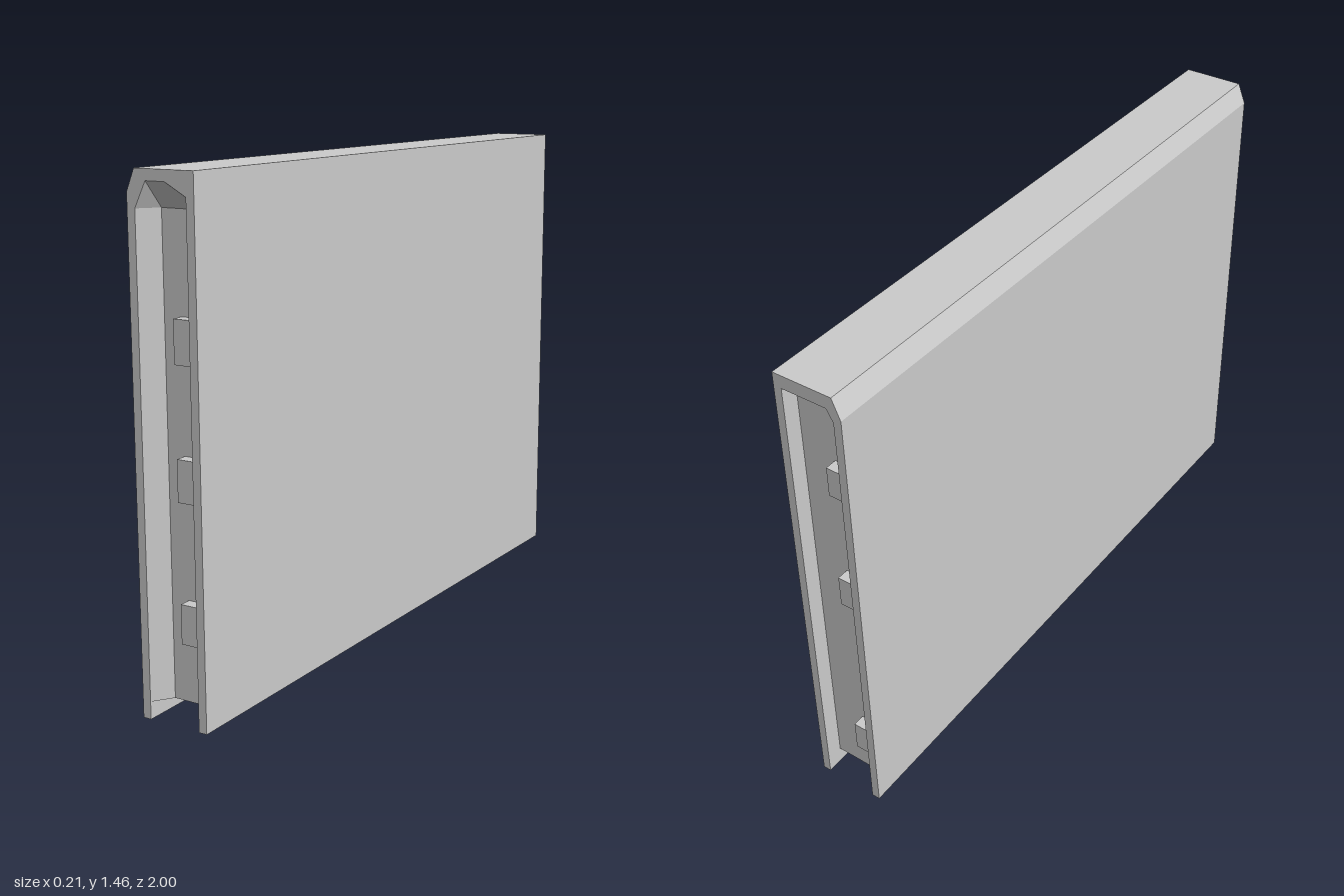
import * as THREE from 'three';

const material = new THREE.MeshStandardMaterial({ color: 0xcccccc, flatShading: true, side: THREE.DoubleSide });

// Outer cross-section: an upside-down U with one bevelled shoulder
const outer = [[0.105, 0], [0.105, 1.46], [-0.08, 1.46], [-0.105, 1.4], [-0.105, 0]];
const frontMouth = [[-0.08, 0.05], [-0.08, 1.36], [-0.045, 1.43], [0.015, 1.43], [0.08, 1.395], [0.08, 0.05]];
const frontFloor = [[-0.04, 0.05], [-0.04, 1.355], [-0.04, 1.36], [0.015, 1.36], [0.08, 1.36], [0.078, 0.05]];
const backMouth = [[-0.08, 0.05], [-0.08, 1.385], [-0.06, 1.42], [0.08, 1.42], [0.08, 0.05]];
const FRONT_Z = 0.945, BACK_Z = -0.95;

function add(group, name, geometry) {
  const mesh = new THREE.Mesh(geometry, material);
  mesh.name = name;
  group.add(mesh);
  return mesh;
}

function extrude(points, z0, z1) {
  const shape = new THREE.Shape(points.map(([x, y]) => new THREE.Vector2(x, y)));
  return new THREE.ExtrudeGeometry(shape, { depth: z1 - z0, bevelEnabled: false }).translate(0, 0, z0);
}

// Joins two outlines with a strip of quads
function loft(a, za, b, zb) {
  const positions = [];
  for (let i = 0; i < a.length - 1; i++) {
    const p = [...a[i], za], q = [...a[i + 1], za];
    const r = [...b[i + 1], zb], s = [...b[i], zb];
    positions.push(...p, ...q, ...r, ...p, ...r, ...s);
  }
  const geometry = new THREE.BufferGeometry();
  geometry.setAttribute('position', new THREE.Float32BufferAttribute(positions, 3));
  geometry.computeVertexNormals();
  return geometry;
}

function box(group, name, x0, x1, y0, y1, z0, z1) {
  const mesh = add(group, name, new THREE.BoxGeometry(x1 - x0, y1 - y0, z1 - z0));
  mesh.position.set((x0 + x1) / 2, (y0 + y1) / 2, (z0 + z1) / 2);
}

export function createModel() {
  const model = new THREE.Group();
  model.name = 'wallPanel';

  // Shell halves, with the inside opening cut down through the base
  const shell = (mouth) => [...outer, [-0.08, 0], ...mouth, [0.08, 0]];
  add(model, 'frontShell', extrude(shell(frontMouth), 0, 1));
  add(model, 'backShell', extrude(shell(backMouth), -1, 0));

  // Core filling the shell, set back from both ends and above the base channel
  add(model, 'frontCore', extrude(frontMouth, 0, FRONT_Z));
  add(model, 'backCore', extrude(backMouth, BACK_Z, 0));

  // Sloped lining of the front recess
  add(model, 'frontRecessLining', loft(frontMouth, 1, frontFloor, FRONT_Z));

  // Connector tabs in the end recesses, on opposite walls
  for (const [y0, y1] of [[0.225, 0.335], [0.61, 0.725], [0.97, 1.088]]) {
    box(model, 'frontTab', 0.015, 0.08, y0, y1, FRONT_Z, FRONT_Z + 0.035);
  }
  for (const [y0, y1] of [[0.165, 0.26], [0.74, 0.835], [1.12, 1.21]]) {
    box(model, 'backTab', -0.08, -0.025, y0, y1, BACK_Z - 0.035, BACK_Z);
  }
  return model;
}
